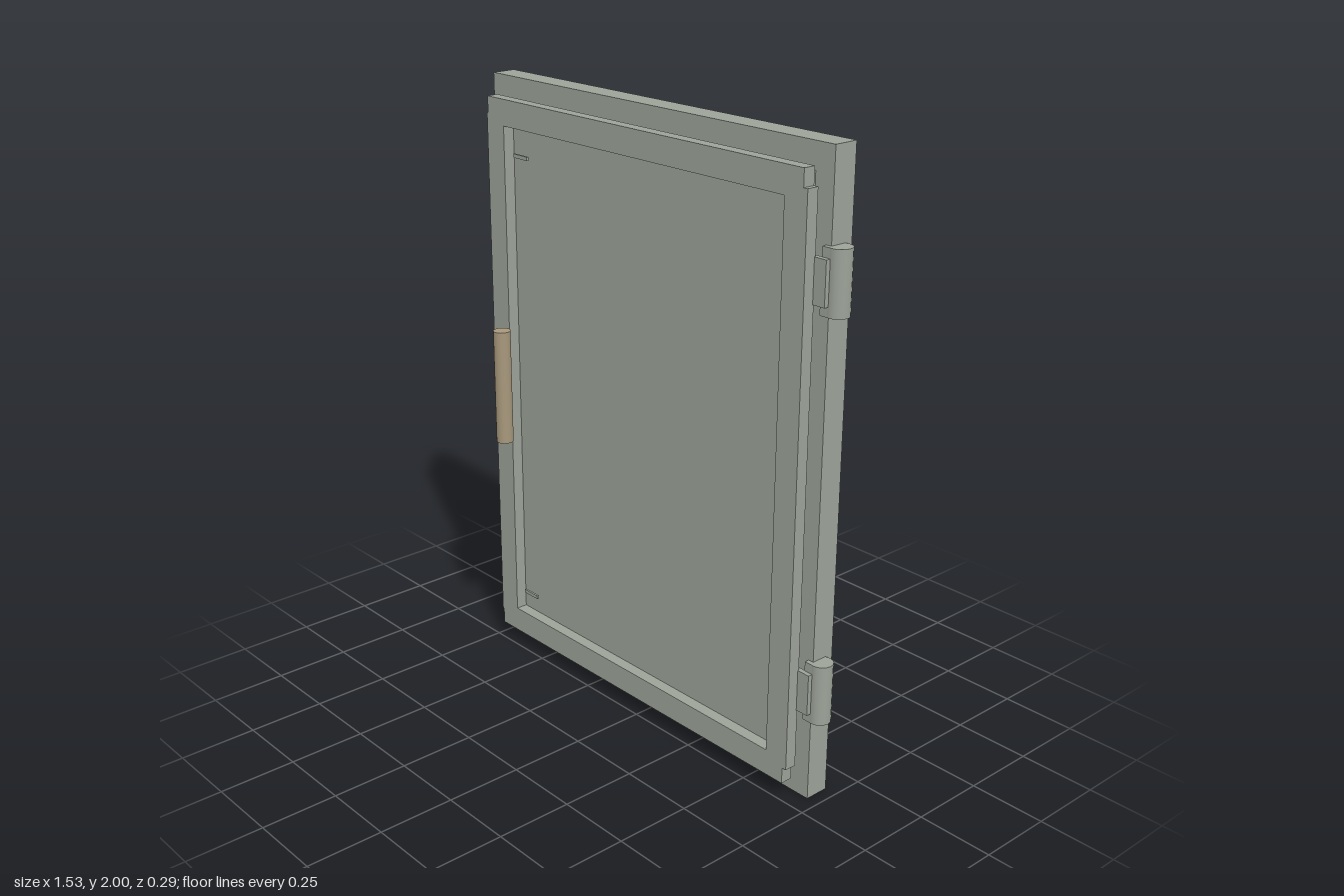
import * as THREE from 'three';

export function createModel() {
  const model = new THREE.Group();
  model.name = 'cabinetDoor';
  const paint = new THREE.MeshStandardMaterial({ color: 0x9da399 });
  paint.name = 'greyGreenPaint';
  const brass = new THREE.MeshStandardMaterial({ color: 0xa8987c });
  brass.name = 'tanHandle';

  // Box given by its limits on each axis
  const box = (name, [x0, x1], [y0, y1], [z0, z1], parent = model) => {
    const mesh = new THREE.Mesh(new THREE.BoxGeometry(x1 - x0, y1 - y0, z1 - z0), paint);
    mesh.position.set((x0 + x1) / 2, (y0 + y1) / 2, (z0 + z1) / 2);
    mesh.name = name;
    parent.add(mesh);
    return mesh;
  };

  // Upright rod between two heights
  const rod = (name, x, z, r, [y0, y1], sides, material, parent = model) => {
    const geometry = new THREE.CylinderGeometry(r, r, y1 - y0, sides);
    const mesh = new THREE.Mesh(geometry, material);
    mesh.position.set(x, (y0 + y1) / 2, z);
    mesh.name = name;
    parent.add(mesh);
    return mesh;
  };

  // Back slab and the two stepped layers in front of it
  box('backSlab', [-0.767, 0.709], [0, 2], [-0.147, -0.066]);
  box('sealLayer', [-0.695, 0.642], [0.08, 1.92], [-0.067, -0.053]);
  box('recessedPanel', [-0.66, 0.607], [0.127, 1.873], [-0.054, -0.039]);

  // Raised door border: stiles stand slightly proud of the rails at the sides
  const depth = [-0.04, 0];
  const border = new THREE.Group();
  border.name = 'doorBorder';
  model.add(border);
  box('leftStile', [0.593, 0.677], [0.113, 1.887], depth, border);
  box('rightStile', [-0.72, -0.635], [0.113, 1.887], depth, border);
  const rail = (name, outer, inner, step) => {
    // Rail with shoulders resting on the stile ends
    const s = new THREE.Shape([
      [-0.715, outer], [0.662, outer], [0.662, step], [0.593, step],
      [0.593, inner], [-0.635, inner], [-0.635, step], [-0.715, step],
    ].map(([x, y]) => new THREE.Vector2(x, y)));
    const geometry = new THREE.ExtrudeGeometry(s, { depth: 0.04, bevelEnabled: false });
    const mesh = new THREE.Mesh(geometry, paint);
    mesh.position.z = -0.04;
    mesh.name = name;
    border.add(mesh);
  };
  rail('topRail', 1.94, 1.855, 1.887);
  rail('bottomRail', 0.06, 0.145, 0.113);

  // Hinges
  for (const y of [0.373, 1.63]) {
    const hinge = new THREE.Group();
    hinge.name = 'hinge';
    model.add(hinge);
    rod('hingeBarrel', 0.724, -0.086, 0.036, [y - 0.097, y + 0.097], 16, paint, hinge);
    box('hingeBlock', [0.69, 0.724], [y - 0.097, y + 0.097], [-0.07, -0.051], hinge);
    box('hingeLeaf', [0.613, 0.72], [y - 0.067, y + 0.067], [-0.053, -0.036], hinge);
  }

  // Handle bar and its two thin marker strips
  rod('handle', -0.524, 0.114, 0.028, [0.847, 1.228], 16, brass);
  for (const y of [0.242, 1.773]) {
    box('markerStrip', [-0.571, -0.503], [y - 0.006, y + 0.006], [0.006, 0.013]);
  }
  return model;
}
